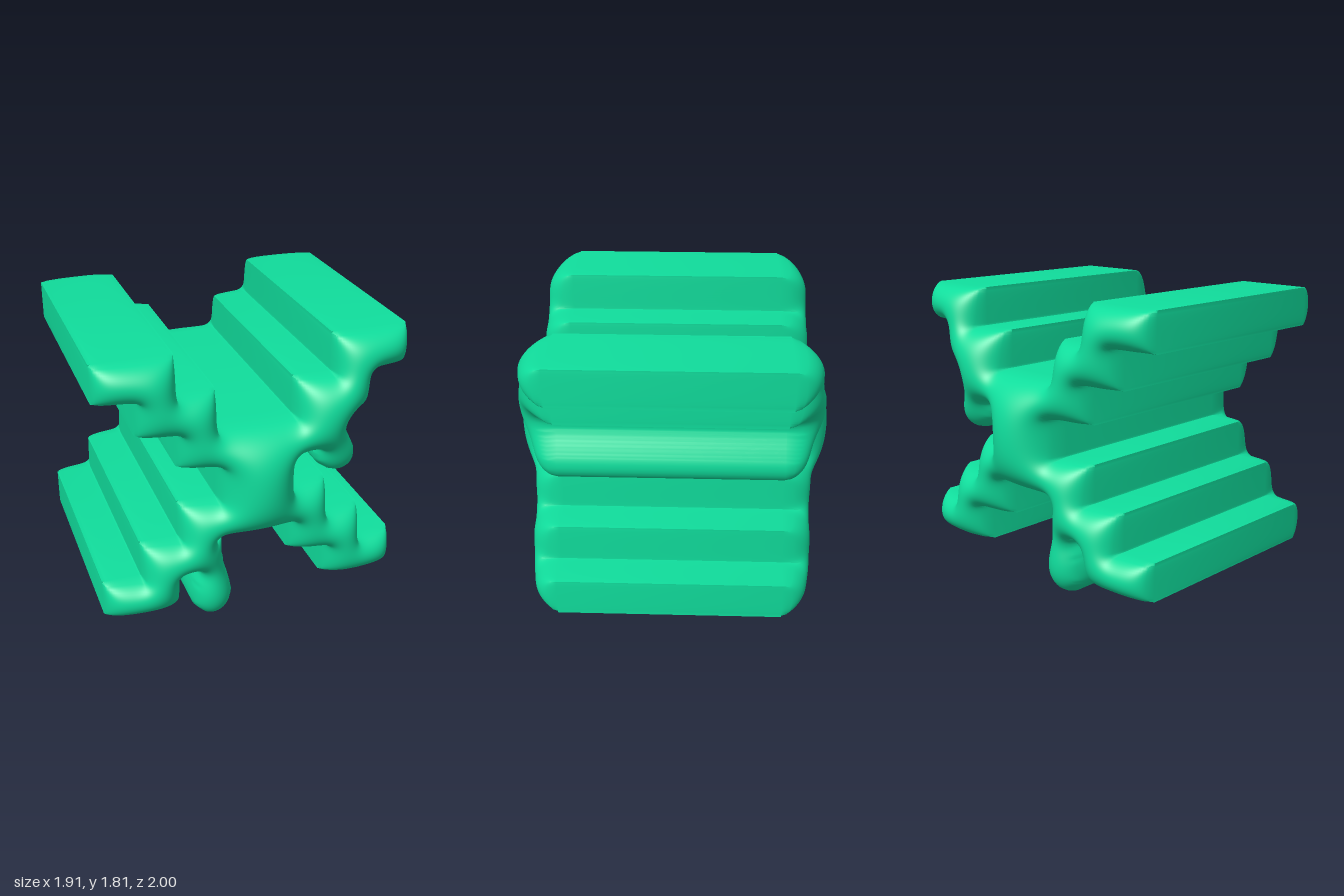
import * as THREE from 'three';
import { toCreasedNormals } from 'three/addons/utils/BufferGeometryUtils.js';

const P = 0.239;            // side of one block of the stepped cross
const N = 20;               // lattice cells per block
const S = P / N;
const X0 = -4 * P, Y0 = 0.142 - P;
const W = 8 * N, H = 8 * N;
const WALL = 0.69, PEAK = 1.0;   // half depth of the straight walls and of the puffed faces

// Stepped cross, bottom row first; the empty first row leaves room for the drip
const ROWS = [
  '........',
  '##....##',
  '.##..##.',
  '..####..',
  '...##...',
  '..####..',
  '.##..##.',
  '##....##',
];

const drip = (pts) =>
  new THREE.SplineCurve(pts.map(([x, y]) => new THREE.Vector2(x, y))).getPoints(240);

const DRIPS = [
  // long drip under the lower arm
  drip([[-0.15, 0.63], [-0.19, 0.57], [-0.2, 0.49], [-0.185, 0.38], [-0.15, 0.25], [-0.135, 0.16],
    [-0.16, 0.07], [-0.21, 0.02], [-0.27, 0.004], [-0.33, 0.022], [-0.385, 0.085], [-0.4, 0.17],
    [-0.385, 0.27], [-0.36, 0.34], [-0.375, 0.385], [-0.33, 0.5]]),
  // short drip under the upper arm
  drip([[0.63, 1.35], [0.62, 1.315], [0.59, 1.295], [0.575, 1.25], [0.59, 1.2], [0.63, 1.12],
    [0.66, 1.04], [0.655, 0.975], [0.62, 0.927], [0.55, 0.905], [0.48, 0.92], [0.42, 0.967],
    [0.4, 1.03], [0.41, 1.075], [0.39, 1.11], [0.42, 1.25], [0.48, 1.36]]),
];

function inPolygon(x, y, poly) {
  let inside = false;
  for (let i = 0, j = poly.length - 1; i < poly.length; j = i++) {
    const a = poly[i], b = poly[j];
    if ((a.y > y) !== (b.y > y) && x < ((b.x - a.x) * (y - a.y)) / (b.y - a.y) + a.x) inside = !inside;
  }
  return inside;
}

const inBlocks = (i, j) => ROWS[Math.floor(j / N)]?.[Math.floor(i / N)] === '#';

function buildGeometry() {
  // Which lattice cells belong to the silhouette
  const filled = new Uint8Array(W * H);
  for (let j = 0; j < H; j++) for (let i = 0; i < W; i++) {
    const x = X0 + (i + 0.5) * S, y = Y0 + (j + 0.5) * S;
    filled[j * W + i] = inBlocks(i, j) || DRIPS.some((d) => inPolygon(x, y, d)) ? 1 : 0;
  }
  const cell = (i, j) => (i >= 0 && j >= 0 && i < W && j < H ? filled[j * W + i] : 0);
  const around = (i, j) => cell(i, j) + cell(i - 1, j) + cell(i, j - 1) + cell(i - 1, j - 1);

  // Membrane pinned at the outline gives the puffed height
  const M = W + 1;
  const u = new Float64Array(M * (H + 1));
  const inner = [];
  for (let j = 0; j <= H; j++) for (let i = 0; i <= W; i++) if (around(i, j) === 4) inner.push(j * M + i);
  for (let pass = 0; pass < 400; pass++) {
    for (const k of inner) u[k] += 1.93 * ((u[k - 1] + u[k + 1] + u[k - M] + u[k + M] + 1) / 4 - u[k]);
  }
  let top = 0;
  for (const k of inner) top = Math.max(top, u[k]);

  // Lattice nodes; those on a drip's rim move onto its smooth outline
  const nodes = [];
  for (let j = 0; j <= H; j++) for (let i = 0; i <= W; i++) {
    let x = X0 + i * S, y = Y0 + j * S;
    const n = around(i, j);
    const onBlocks = inBlocks(i, j) || inBlocks(i - 1, j) || inBlocks(i, j - 1) || inBlocks(i - 1, j - 1);
    if (n > 0 && n < 4 && !onBlocks) {
      let best = S * 1.5, hit = null;
      for (const p of DRIPS.flat()) {
        const d = Math.hypot(p.x - x, p.y - y);
        if (d < best) { best = d; hit = p; }
      }
      if (hit) { x = hit.x; y = hit.y; }
    }
    nodes.push([x, y, WALL + (PEAK - WALL) * Math.sqrt(Math.max(0, u[j * M + i]) / top)]);
  }

  const pos = [];
  const tri = (a, b, c) => pos.push(...a, ...b, ...c);
  const atZ = (p, z) => [p[0], p[1], z];
  const back = (p) => atZ(p, -p[2]);
  for (let j = 0; j < H; j++) for (let i = 0; i < W; i++) {
    if (!cell(i, j)) continue;
    const k = j * M + i;
    const c = [nodes[k], nodes[k + 1], nodes[k + M + 1], nodes[k + M]];
    // puffed front and back faces
    tri(c[0], c[1], c[2]);
    tri(c[0], c[2], c[3]);
    tri(back(c[0]), back(c[2]), back(c[1]));
    tri(back(c[0]), back(c[3]), back(c[2]));
    // straight walls along the outline
    [[0, -1], [1, 0], [0, 1], [-1, 0]].forEach(([di, dj], e) => {
      if (cell(i + di, j + dj)) return;
      const a = c[e], b = c[(e + 1) % 4];
      tri(atZ(a, -WALL), atZ(b, -WALL), atZ(b, WALL));
      tri(atZ(a, -WALL), atZ(b, WALL), atZ(a, WALL));
    });
  }
  const geometry = new THREE.BufferGeometry();
  geometry.setAttribute('position', new THREE.Float32BufferAttribute(pos, 3));
  return toCreasedNormals(geometry, 0.8);
}

export function createModel() {
  const group = new THREE.Group();
  group.name = 'drippingSteppedCross';
  const material = new THREE.MeshStandardMaterial({ color: 0x10dd9c });
  const body = new THREE.Mesh(buildGeometry(), material);
  body.name = 'puffedCrossWithDrips';
  group.add(body);
  return group;
}
